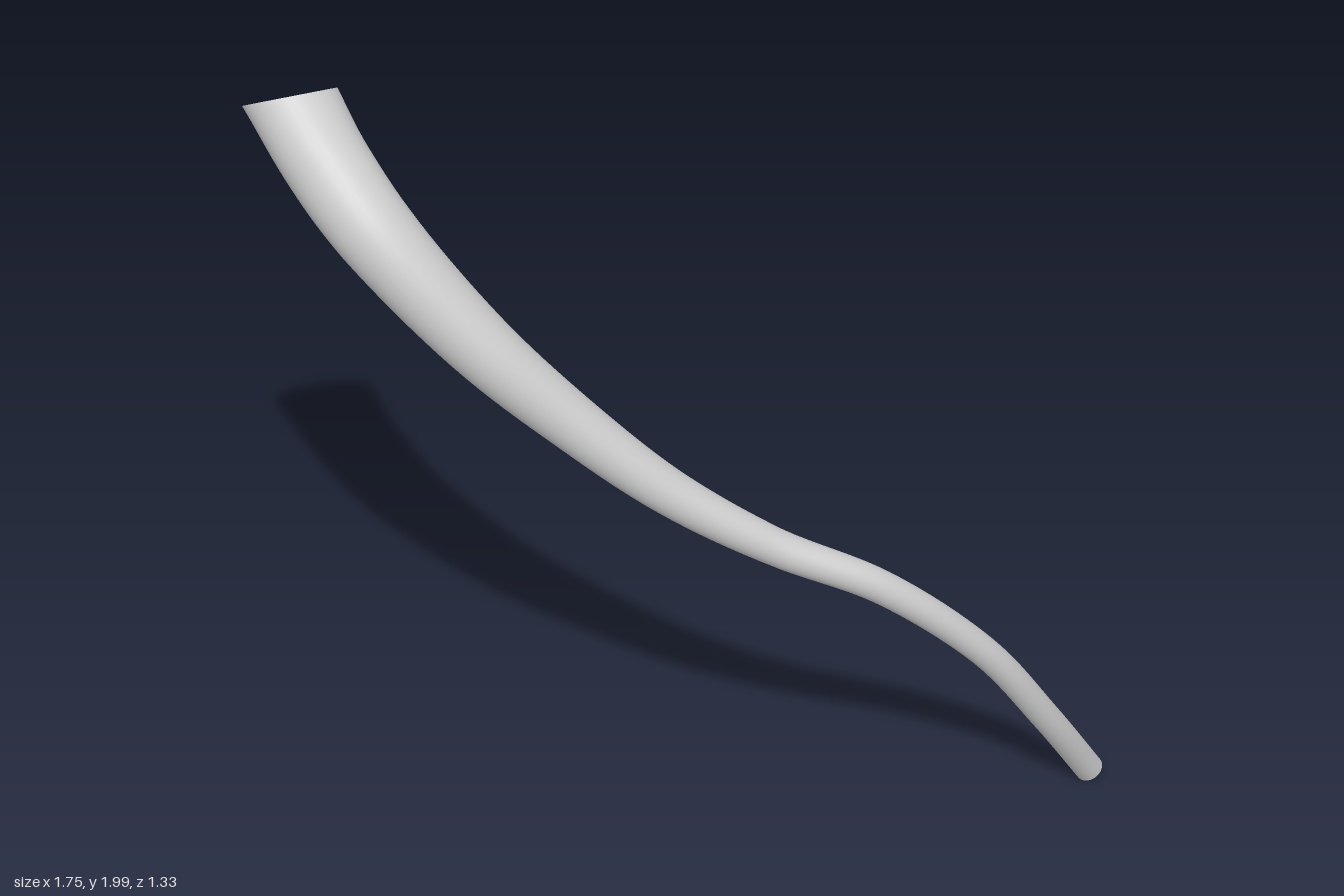
import * as THREE from 'three';

// Centre line with radius, from the thick top end down to the thin tip: x, y, z, r
const STATIONS = [
  [-0.77, 1.93, 0.49, 0.12],
  [-0.62, 1.825, 0.54, 0.11],
  [-0.45, 1.695, 0.56, 0.102],
  [-0.2, 1.435, 0.48, 0.086],
  [0, 1.22, 0.36, 0.071],
  [0.2, 1.02, 0.222, 0.058],
  [0.4, 0.86, 0.064, 0.047],
  [0.6, 0.73, -0.11, 0.042],
  [0.755, 0.5, -0.315, 0.038],
  [0.82, 0.25, -0.48, 0.036],
  [0.84, 0.025, -0.632, 0.035],
];
const SIDES = 32;
const RINGS = 80;

function makeGeometry(points, index) {
  const geometry = new THREE.BufferGeometry();
  geometry.setAttribute('position', new THREE.Float32BufferAttribute(points.flatMap((p) => p.toArray()), 3));
  geometry.setIndex(index);
  geometry.computeVertexNormals();
  return geometry;
}

// Circle of points around a centre, in the plane across the given direction
function makeRing(center, direction, radius) {
  const u = new THREE.Vector3(1, 1, 0).cross(direction).normalize();
  const v = direction.clone().cross(u);
  return Array.from({ length: SIDES }, (_, j) => {
    const a = (j / SIDES) * Math.PI * 2;
    return center.clone().addScaledVector(u, Math.cos(a) * radius).addScaledVector(v, Math.sin(a) * radius);
  });
}

// Flat disc closing a ring
function makeCap(ring, center, flip) {
  const index = [];
  for (let j = 0; j < SIDES; j++) {
    const k = (j + 1) % SIDES;
    index.push(SIDES, ...(flip ? [k, j] : [j, k]));
  }
  return makeGeometry([...ring, center], index);
}

export function createModel() {
  const group = new THREE.Group();
  group.name = 'curvedHorn';
  const material = new THREE.MeshStandardMaterial({ color: 0xcccccc });

  const curve = new THREE.CatmullRomCurve3(STATIONS.map(([x, y, z]) => new THREE.Vector3(x, y, z)));
  const spans = STATIONS.length - 1;
  const cutDirection = new THREE.Vector3(0.48, -0.82, 0.31).normalize();

  // Rings sweep down the curve; the first ones lean into the slanted top cut
  const rings = [];
  for (let i = 0; i <= RINGS; i++) {
    const t = i / RINGS;
    const s = Math.min(Math.floor(t * spans), spans - 1);
    const radius = THREE.MathUtils.lerp(STATIONS[s][3], STATIONS[s + 1][3], t * spans - s);
    const lean = 1 - THREE.MathUtils.smoothstep(t, 0, 0.2);
    const direction = curve.getTangent(t).lerp(cutDirection, lean).normalize();
    rings.push(makeRing(curve.getPoint(t), direction, radius));
  }

  const index = [];
  for (let i = 0; i < RINGS; i++) {
    for (let j = 0; j < SIDES; j++) {
      const a = i * SIDES + j;
      const b = i * SIDES + ((j + 1) % SIDES);
      index.push(a, b, a + SIDES, b, b + SIDES, a + SIDES);
    }
  }

  const add = (name, geometry) => {
    const mesh = new THREE.Mesh(geometry, material);
    mesh.name = name;
    group.add(mesh);
  };
  add('taperedBody', makeGeometry(rings.flat(), index));
  add('topCap', makeCap(rings[0], curve.getPoint(0), true));
  add('tipCap', makeCap(rings[RINGS], curve.getPoint(1), false));
  return group;
}
